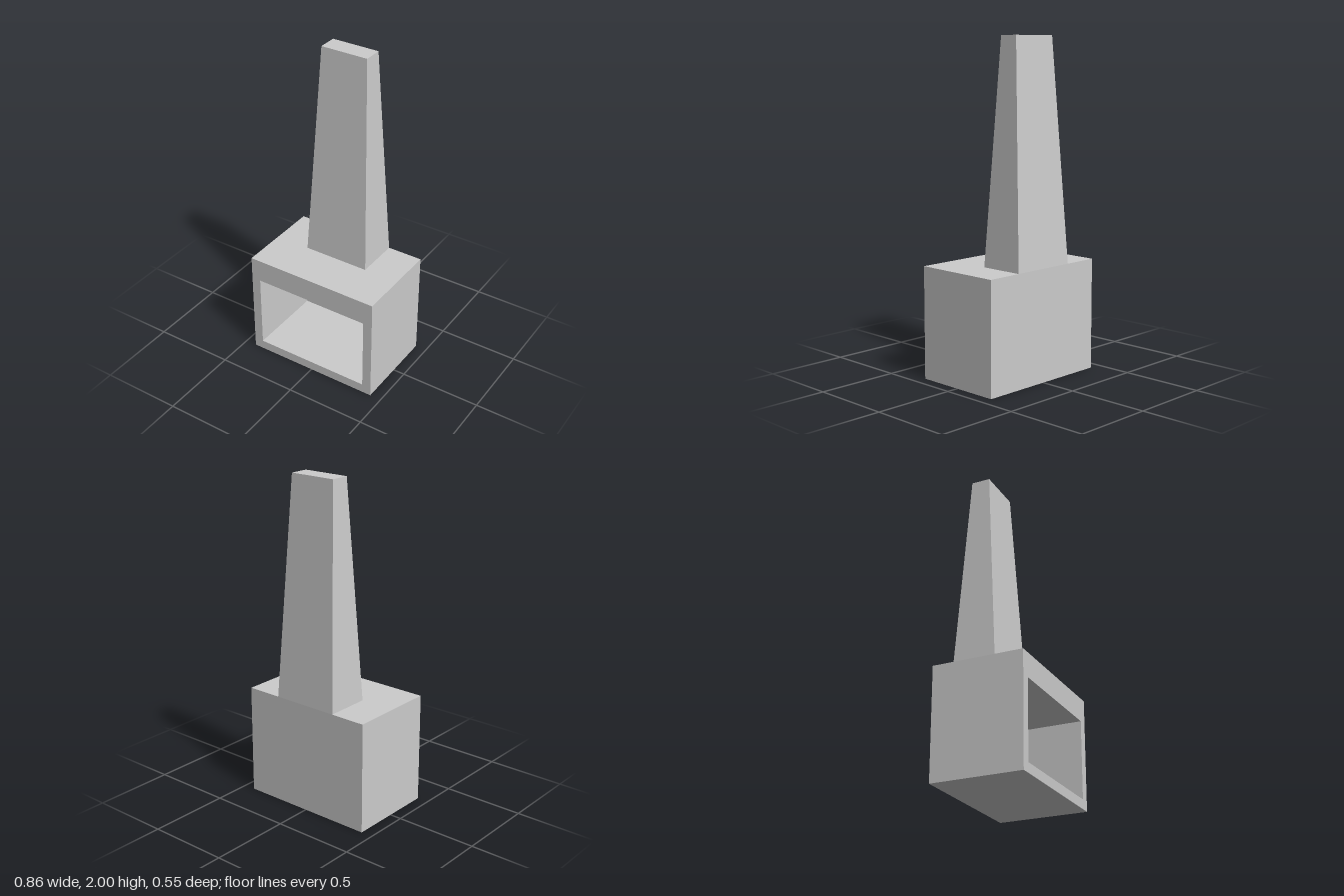
import * as THREE from 'three';

const W = 0.856, H = 0.675, D = 0.55; // firebox size
const WALL = 0.058, OPEN_TOP = 0.53;

function rect(Type, x0, y0, x1, y1) {
  const r = new Type();
  r.moveTo(x0, y0);
  r.lineTo(x1, y0);
  r.lineTo(x1, y1);
  r.lineTo(x0, y1);
  r.closePath();
  return r;
}

// Box whose top is narrowed to the given width and depth
function taperedBox(w, h, d, topW, topD) {
  const geo = new THREE.BoxGeometry(w, h, d);
  const p = geo.attributes.position;
  for (let i = 0; i < p.count; i++) {
    if (p.getY(i) > 0) {
      p.setX(i, Math.sign(p.getX(i)) * topW / 2);
      p.setZ(i, Math.sign(p.getZ(i)) * topD / 2);
    }
  }
  geo.computeVertexNormals();
  return geo;
}

export function createModel() {
  const group = new THREE.Group();
  const material = new THREE.MeshStandardMaterial({ color: 0xcccccc, flatShading: true });
  const add = (name, geo, x, y, z) => {
    const mesh = new THREE.Mesh(geo, material);
    mesh.name = name;
    mesh.position.set(x, y, z);
    group.add(mesh);
  };

  // Firebox surround: a frame running from the front to the back wall
  const frame = rect(THREE.Shape, -W / 2, 0, W / 2, H);
  frame.holes.push(rect(THREE.Path, -W / 2 + WALL, WALL, W / 2 - WALL, OPEN_TOP));
  add('firebox', new THREE.ExtrudeGeometry(frame, { depth: D - WALL, bevelEnabled: false }),
    0, 0, -D / 2 + WALL);

  // Back wall closing the firebox
  add('backWall', new THREE.BoxGeometry(W, H, WALL), 0, H / 2, -D / 2 + WALL / 2);

  // Tapered chimney on the rear half of the firebox
  const chimneyH = 2 - H;
  add('chimney', taperedBox(0.416, chimneyH, D / 2, 0.296, 0.116), 0, H + chimneyH / 2, -D / 4);

  return group;
}
